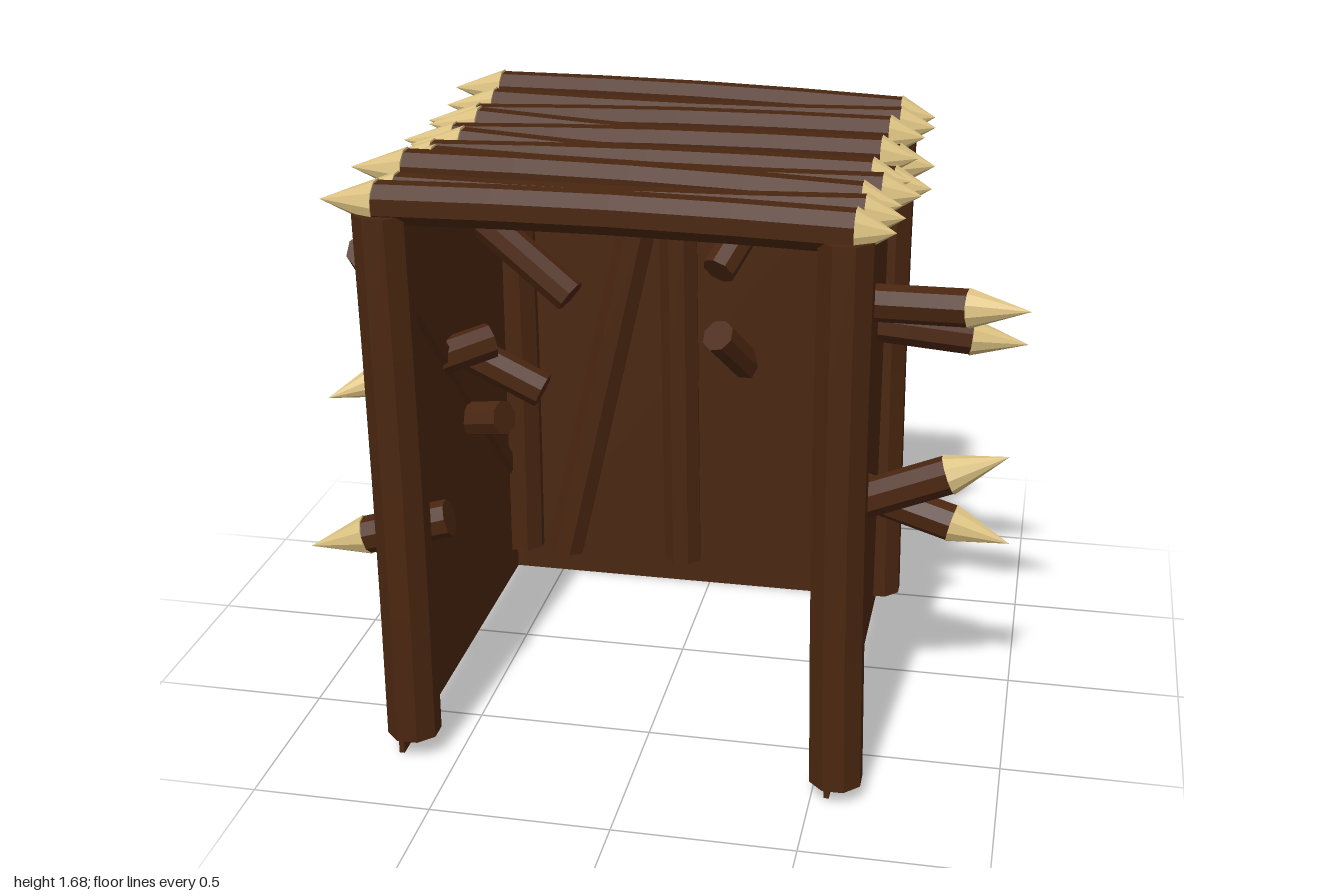
import * as THREE from 'three';

const wood = new THREE.MeshStandardMaterial({ color: 0x4a2610, flatShading: true });
wood.name = 'darkWood';
const bone = new THREE.MeshStandardMaterial({ color: 0xdcc282, flatShading: true });
bone.name = 'paleTip';

const UP = new THREE.Vector3(0, 1, 0);

// Place a geometry built along +y so that it is centred between two points
function between(geometry, material, name, a, b) {
  const mesh = new THREE.Mesh(geometry, material);
  mesh.name = name;
  mesh.position.copy(a).add(b).multiplyScalar(0.5);
  mesh.quaternion.setFromUnitVectors(UP, b.clone().sub(a).normalize());
  return mesh;
}

// Eight-sided log with a slight bow in its middle
function log(name, from, to, r, bow = 0) {
  const a = new THREE.Vector3(...from), b = new THREE.Vector3(...to);
  const len = a.distanceTo(b);
  const g = new THREE.CylinderGeometry(r, r, len, 8, 4);
  g.rotateY(Math.PI / 8);
  const p = g.attributes.position;
  for (let i = 0; i < p.count; i++) {
    const s = Math.cos((p.getY(i) / len) * Math.PI);
    p.setX(i, p.getX(i) + bow * s);
    p.setZ(i, p.getZ(i) + bow * 0.5 * s);
  }
  g.computeVertexNormals();
  return between(g, wood, name, a, b);
}

// Sharpened tip whose base sits at one point and apex at another
function tip(from, to, r) {
  const a = new THREE.Vector3(...from), b = new THREE.Vector3(...to);
  return between(new THREE.ConeGeometry(r, a.distanceTo(b), 10), bone, 'sharpTip', a, b);
}

// Stake: log from its blunt end to a sharpened apex
function stake(start, apex) {
  const group = new THREE.Group();
  group.name = 'stake';
  const a = new THREE.Vector3(...start), b = new THREE.Vector3(...apex);
  const neck = b.clone().lerp(a, 0.17 / a.distanceTo(b)).toArray();
  group.add(log('stakeShaft', start, neck, 0.053), tip(neck, apex, 0.056));
  return group;
}

export function createModel() {
  const model = new THREE.Group();
  model.name = 'spikedShelter';

  // Three thin walls, open at the front
  const walls = [
    ['leftWall', 0.015, 1.22, 0.543, 0.13],
    ['rightWall', 0.015, 1.22, -0.663, 0.13],
    ['backWall', 1.22, 0.015, -0.06, -0.473],
  ];
  for (const [name, w, d, x, z] of walls) {
    const wall = new THREE.Mesh(new THREE.BoxGeometry(w, 1.57, d), wood);
    wall.name = name;
    wall.position.set(x, 0.785, z);
    model.add(wall);
  }

  // Corner posts
  model.add(
    log('frontPostRight', [-0.63, 0.065, 0.715], [-0.645, 1.58, 0.71], 0.075, 0.006),
    log('frontPostLeft', [0.565, 0.05, 0.715], [0.55, 1.58, 0.71], 0.075, -0.006),
    log('backPostRight', [-0.63, 0.09, -0.465], [-0.64, 1.58, -0.47], 0.072, 0.006),
    log('backPostLeft', [0.56, 0.05, -0.44], [0.55, 1.58, -0.465], 0.072, -0.006),
  );

  // Braces on the back and right walls
  model.add(
    log('backBrace', [0.06, 0.09, -0.52], [0.43, 1.55, -0.52], 0.052),
    log('backBrace', [-0.09, 0.08, -0.483], [-0.11, 1.55, -0.483], 0.064),
    log('backBrace', [-0.49, 0.08, -0.483], [-0.16, 1.55, -0.483], 0.064),
    log('sideBrace', [-0.695, 0.36, -0.45], [-0.695, 1.47, 0.69], 0.056),
  );

  // Roof logs: z, right apex x, left apex x, right end y, left end y
  const roof = [
    [-0.48, -0.81, 0.67, 1.625, 1.6], [-0.355, -0.8, 0.68, 1.6, 1.6],
    [-0.235, -0.82, 0.66, 1.58, 1.6], [-0.115, -0.78, 0.7, 1.6, 1.55],
    [0.0, -0.82, 0.66, 1.58, 1.6], [0.12, -0.76, 0.71, 1.6, 1.55],
    [0.235, -0.81, 0.66, 1.59, 1.6], [0.35, -0.77, 0.7, 1.605, 1.595],
    [0.465, -0.81, 0.66, 1.625, 1.6], [0.575, -0.8, 0.68, 1.59, 1.6],
    [0.705, -0.81, 0.67, 1.605, 1.6],
  ];
  roof.forEach(([z, x0, x1, y0, y1], i) => {
    const group = new THREE.Group();
    group.name = 'roofLog';
    const a = [x0 + 0.155, y0, z], b = [x1 - 0.1, y1, z];
    group.add(
      log('roofShaft', a, b, 0.057, i % 2 ? 0.008 : -0.008),
      tip(a, [x0, y0, z], 0.061),
      tip(b, [x1, y1, z], 0.061),
    );
    model.add(group);
  });

  // Stakes driven through the walls: blunt end, apex
  const stakes = [
    [[0.43, 1.23, 0.16], [1.0, 1.27, 0.27]],
    [[0.46, 1.04, -0.22], [0.99, 0.98, -0.27]],
    [[0.48, 0.73, 0.465], [0.97, 0.92, 0.44]],
    [[0.48, 0.69, 0.17], [0.98, 0.57, 0.24]],
    [[-0.36, 1.1, -0.1], [-0.8, 1.42, -0.19]],
    [[-0.42, 0.84, 0.02], [-0.95, 1.08, 0.0]],
    [[-0.55, 1.02, 0.1], [-0.95, 0.92, 0.39]],
    [[-0.53, 0.76, 0.06], [-1.0, 0.64, -0.12]],
    [[-0.55, 0.66, 0.56], [-0.95, 0.55, 0.59]],
    [[0.04, 1.12, -0.36], [0.24, 1.46, -0.79]],
    [[0.04, 0.91, -0.36], [0.21, 0.57, -0.7]],
  ];
  for (const [start, apex] of stakes) model.add(stake(start, apex));

  return model;
}
